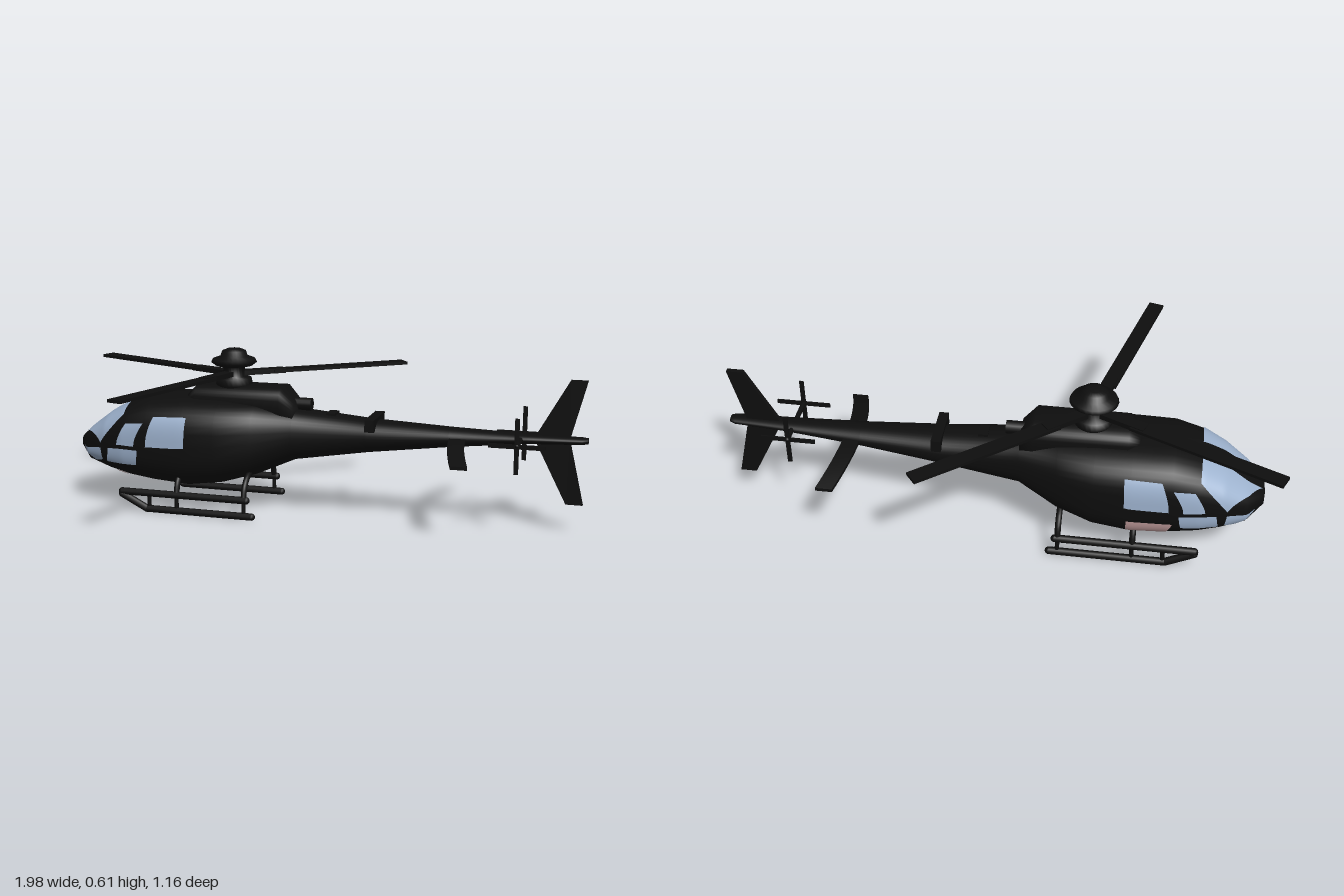
import * as THREE from 'three';

const black = new THREE.MeshStandardMaterial({ color: 0x0e0e0e });
const thinBlack = new THREE.MeshStandardMaterial({ color: 0x0e0e0e, side: THREE.DoubleSide });
const glass = new THREE.MeshStandardMaterial({ color: 0x9fb4d0, side: THREE.DoubleSide });
const pink = new THREE.MeshStandardMaterial({ color: 0xc9a3a3, side: THREE.DoubleSide });

// Fuselage stations: x, top y, bottom y, half width, roundness power
const BODY = [
  [-0.95, 0.225, 0.222, 0, 0.8], [-0.945, 0.25, 0.195, 0.05, 0.8], [-0.885, 0.298, 0.155, 0.13, 0.75],
  [-0.8, 0.36, 0.13, 0.165, 0.7], [-0.72, 0.403, 0.112, 0.185, 0.68], [-0.62, 0.43, 0.1, 0.197, 0.66],
  [-0.48, 0.432, 0.09, 0.2, 0.66], [-0.35, 0.43, 0.108, 0.198, 0.68], [-0.22, 0.422, 0.145, 0.165, 0.72],
  [-0.08, 0.395, 0.205, 0.097, 0.8], [0.2, 0.372, 0.25, 0.08, 0.9], [0.5, 0.36, 0.288, 0.055, 1],
  [0.78, 0.352, 0.318, 0.037, 1], [0.97, 0.352, 0.326, 0.027, 1], [0.99, 0.35, 0.33, 0.018, 1],
  [0.99, 0.341, 0.339, 0, 1],
];
const COWL = [
  [-0.51, 0.42, 0.38, 0, 0.8], [-0.5, 0.44, 0.37, 0.06, 0.7], [-0.46, 0.478, 0.36, 0.09, 0.65],
  [-0.13, 0.48, 0.34, 0.09, 0.65], [-0.08, 0.425, 0.32, 0.075, 0.7], [-0.07, 0.4, 0.34, 0, 0.8],
];

const spow = (v, p) => Math.sign(v) * Math.abs(v) ** p;

function sectionAt(stations, x) {
  let i = 0;
  while (i < stations.length - 2 && x > stations[i + 1][0]) i++;
  const a = stations[i], b = stations[i + 1];
  const k = THREE.MathUtils.clamp((x - a[0]) / (b[0] - a[0] || 1), 0, 1);
  return a.map((v, n) => v + (b[n] - v) * k);
}

// Point on a superellipse section; t = 0 at the top, turning toward +z
function ringPoint([x, top, bot, w, p], t) {
  return [x, (top + bot) / 2 + (top - bot) / 2 * spow(Math.cos(t), p), w * spow(Math.sin(t), p)];
}

function surface(points, indices) {
  const g = new THREE.BufferGeometry();
  g.setAttribute('position', new THREE.Float32BufferAttribute(points, 3));
  g.setIndex(indices);
  g.computeVertexNormals();
  return g;
}

function loft(stations, n = 40) {
  const pos = [], idx = [];
  stations.forEach((s, i) => {
    for (let j = 0; j < n; j++) {
      pos.push(...ringPoint(s, j / n * Math.PI * 2));
      if (i === stations.length - 1) continue;
      const a = i * n + j, d = i * n + (j + 1) % n;
      idx.push(a, d, a + n, d, d + n, a + n);
    }
  });
  return surface(pos, idx);
}

// Ring angle of a fuselage point given its height, or its half width near the top
function angleFromY(x, y) {
  const [, top, bot, , p] = sectionAt(BODY, x);
  const v = THREE.MathUtils.clamp((2 * y - top - bot) / (top - bot), -1, 1);
  return Math.acos(spow(v, 1 / p));
}
function angleFromZ(x, z) {
  const [, , , w, p] = sectionAt(BODY, x);
  return Math.asin(Math.min(1, (z / w) ** (1 / p)));
}

// Four-cornered patch [x, angle] lying just outside the fuselage skin
function skinPatch([a, b, c, d], side, lift = 1.014, n = 12) {
  const pos = [], idx = [];
  const mix = (m, u, v) => (a[m] * (1 - u) + b[m] * u) * (1 - v) + (d[m] * (1 - u) + c[m] * u) * v;
  for (let i = 0; i <= n; i++) for (let j = 0; j <= n; j++) {
    const s = sectionAt(BODY, mix(0, i / n, j / n)), mid = (s[1] + s[2]) / 2;
    const [x, y, z] = ringPoint(s, mix(1, i / n, j / n));
    pos.push(x - 0.002, mid + (y - mid) * lift, z * lift * side);
    if (i < n && j < n) {
      const k = i * (n + 1) + j;
      idx.push(k, k + 1, k + n + 1, k + 1, k + n + 2, k + n + 1);
    }
  }
  return surface(pos, idx);
}

function add(parent, name, geometry, material = black, x = 0, y = 0, z = 0) {
  const m = new THREE.Mesh(geometry, material);
  m.name = name;
  m.position.set(x, y, z);
  parent.add(m);
  return m;
}

function rod(parent, name, from, to, r) {
  const a = new THREE.Vector3(...from), b = new THREE.Vector3(...to);
  const m = add(parent, name, new THREE.CapsuleGeometry(r, a.distanceTo(b), 4, 10));
  m.position.copy(a).lerp(b, 0.5);
  m.quaternion.setFromUnitVectors(new THREE.Vector3(0, 1, 0), b.sub(a).normalize());
}

export function createModel() {
  const model = new THREE.Group();
  model.name = 'helicopter';
  const craft = new THREE.Group();
  craft.name = 'airframe';
  craft.position.z = -0.115;
  model.add(craft);

  add(craft, 'fuselage', loft(BODY));
  add(craft, 'engineCowl', loft(COWL, 32));

  // Windows, mirrored on both sides
  const sideWindows = {
    chinWindow: [[-0.915, 0.222], [-0.815, 0.232], [-0.81, 0.185], [-0.85, 0.175]],
    frontDoorWindow: [[-0.7, 0.335], [-0.625, 0.342], [-0.665, 0.252], [-0.74, 0.252]],
    lowerDoorWindow: [[-0.78, 0.235], [-0.65, 0.238], [-0.66, 0.18], [-0.79, 0.18]],
    rearDoorWindow: [[-0.585, 0.368], [-0.455, 0.372], [-0.46, 0.26], [-0.615, 0.255]],
  };
  for (const side of [1, -1]) {
    for (const [name, corners] of Object.entries(sideWindows))
      add(craft, name, skinPatch(corners.map(([x, y]) => [x, angleFromY(x, y)]), side), glass);
    add(craft, 'windshield', skinPatch([
      [-0.935, angleFromZ(-0.935, 0.022)], [-0.715, angleFromZ(-0.715, 0.022)],
      [-0.715, angleFromY(-0.715, 0.365)], [-0.815, angleFromY(-0.815, 0.25)],
    ], side), glass);
  }
  const panel = (pts, side) => skinPatch(pts.map(([x, y]) => [x, angleFromY(x, y)]), side);
  add(craft, 'doorPanel', panel([[-0.63, 0.2], [-0.47, 0.2], [-0.47, 0.145], [-0.61, 0.145]], -1), pink);
  add(craft, 'chinPanel', panel([[-0.77, 0.145], [-0.73, 0.142], [-0.71, 0.13], [-0.75, 0.132]], 1), pink);

  // Exhaust and fittings along the boom
  add(craft, 'exhaust', new THREE.CylinderGeometry(0.024, 0.024, 0.1, 16), black, -0.075, 0.413).rotation.z = Math.PI / 2;
  add(craft, 'boomFitting', new THREE.BoxGeometry(0.035, 0.03, 0.06), black, 0.055, 0.375);
  add(craft, 'boomCollar', new THREE.BoxGeometry(0.035, 0.045, 0.175), black, 0.215, 0.362);

  // Main rotor
  const rotor = new THREE.Group();
  rotor.name = 'mainRotor';
  rotor.position.x = -0.33;
  craft.add(rotor);
  const hub = [[0, 0.44], [0.05, 0.44], [0.07, 0.475], [0.065, 0.5], [0.04, 0.505], [0.04, 0.545], [0.07, 0.548],
    [0.086, 0.56], [0.08, 0.572], [0.052, 0.582], [0.045, 0.602], [0.025, 0.61], [0, 0.61]];
  add(rotor, 'rotorHub', new THREE.LatheGeometry(hub.map(p => new THREE.Vector2(...p)), 24));
  for (const [angle, tilt] of [[-156.2, -0.012], [-38.6, -0.008], [104.5, 0.02]]) {
    const arm = new THREE.Group();
    arm.name = 'rotorBlade';
    arm.position.y = 0.517;
    arm.rotation.set(0, -THREE.MathUtils.degToRad(angle), tilt);
    rotor.add(arm);
    add(arm, 'bladeGrip', new THREE.BoxGeometry(0.2, 0.018, 0.04), black, 0.1);
    add(arm, 'blade', new THREE.BoxGeometry(0.56, 0.011, 0.055), black, 0.432);
  }

  // Swept, drooping stabiliser
  const stab = new THREE.BoxGeometry(0.06, 0.012, 0.56, 1, 1, 14);
  const sp = stab.attributes.position;
  for (let i = 0; i < sp.count; i++) {
    const k = (sp.getZ(i) / 0.28) ** 2;
    sp.setXYZ(i, sp.getX(i) + 0.048 * k, sp.getY(i) - 0.045 * k, sp.getZ(i));
  }
  stab.computeVertexNormals();
  add(craft, 'stabiliser', stab, black, 0.53, 0.325);

  // Tail fin, upper and lower
  const fin = new THREE.Shape([[0.8, 0.34], [0.92, 0.555], [0.98, 0.555], [0.925, 0.34], [0.98, 0.105], [0.92, 0.105]]
    .map(p => new THREE.Vector2(...p)));
  add(craft, 'tailFin', new THREE.ExtrudeGeometry(fin, { depth: 0.018, bevelEnabled: false }), black, 0, 0, -0.009);

  // Tail rotor on a cross shaft
  rod(craft, 'tailRotorShaft', [0.755, 0.336, -0.09], [0.755, 0.336, 0.13], 0.009);
  for (const z of [-0.087, 0.133]) for (const turn of [0, Math.PI / 2])
    add(craft, 'tailRotorBlade', new THREE.BoxGeometry(0.2, 0.016, 0.006), black, 0.755, 0.334, z).rotation.z = turn;

  // Landing skids and curved struts
  for (const side of [1, -1]) {
    const z = 0.186 * side;
    rod(craft, 'skidUpperRail', [-0.72, 0.075, z], [-0.225, 0.075, z], 0.014);
    rod(craft, 'skidLowerRail', [-0.62, 0.014, z], [-0.205, 0.014, z], 0.014);
    rod(craft, 'skidToe', [-0.72, 0.065, z], [-0.62, 0.014, z], 0.014);
    for (const x of [-0.61, -0.5, -0.235]) rod(craft, 'skidPost', [x, 0.014, z], [x, 0.075, z], 0.008);
    for (const x of [-0.5, -0.235]) {
      const path = new THREE.CatmullRomCurve3([[0.186, 0.075], [0.172, 0.12], [0.145, 0.148], [0.09, 0.168]]
        .map(([pz, y]) => new THREE.Vector3(x, y, pz * side)));
      add(craft, 'skidStrut', new THREE.TubeGeometry(path, 14, 0.011, 10), thinBlack);
    }
  }
  return model;
}
